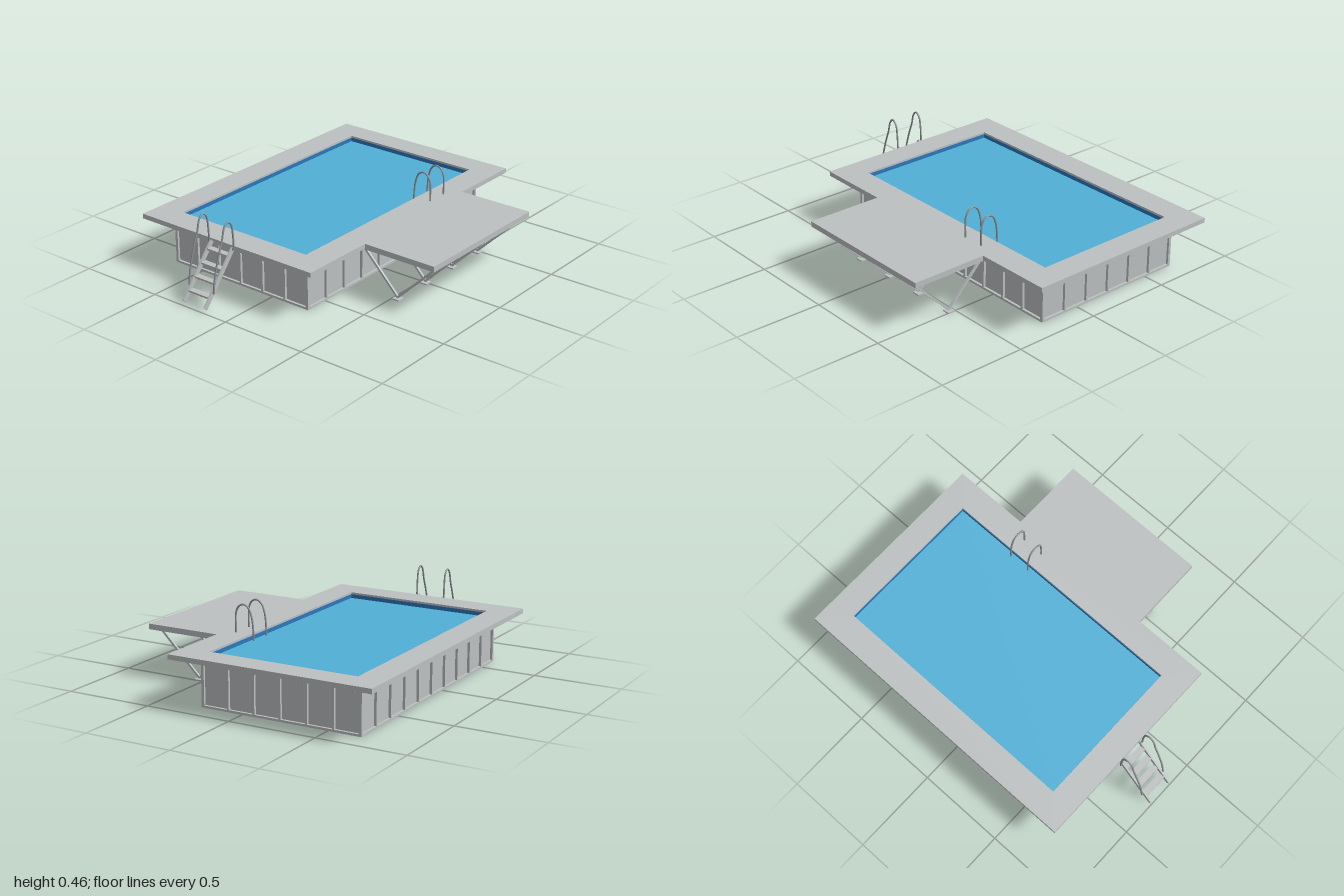
import * as THREE from 'three';

const grey = new THREE.MeshStandardMaterial({ color: 0xbcc0c1 });
grey.name = 'panel grey';
const steel = new THREE.MeshStandardMaterial({ color: 0x8e9396 });
steel.name = 'rail steel';
const blue = new THREE.MeshStandardMaterial({ color: 0x50b0d6 });
blue.name = 'water blue';
const deepBlue = new THREE.MeshStandardMaterial({ color: 0x2c78bc });
deepBlue.name = 'liner blue';

export function createModel() {
  const model = new THREE.Group();
  model.name = 'raisedPool';

  const add = (name, geometry, material = grey, parent = model) => {
    const mesh = new THREE.Mesh(geometry, material);
    mesh.name = name;
    parent.add(mesh);
    return mesh;
  };
  // Box given by its extents
  const box = (name, x0, x1, y0, y1, z0, z1, material = grey, parent = model) => {
    const mesh = add(name, new THREE.BoxGeometry(x1 - x0, y1 - y0, z1 - z0), material, parent);
    mesh.position.set((x0 + x1) / 2, (y0 + y1) / 2, (z0 + z1) / 2);
    return mesh;
  };
  // Rectangular frame seen from above; rectangles are [x0, x1, z0, z1]
  const ring = (name, outer, inner, y0, y1, material = grey) => {
    const corners = ([x0, x1, z0, z1]) => [[x0, -z1], [x1, -z1], [x1, -z0], [x0, -z0]]
      .map(([x, y]) => new THREE.Vector2(x, y));
    const shape = new THREE.Shape(corners(outer));
    shape.holes.push(new THREE.Path(corners(inner).reverse()));
    const geometry = new THREE.ExtrudeGeometry(shape, { depth: y1 - y0, bevelEnabled: false });
    geometry.rotateX(-Math.PI / 2).translate(0, y0, 0);
    return add(name, geometry, material);
  };
  const inset = ([x0, x1, z0, z1], d) => [x0 + d, x1 - d, z0 + d, z1 - d];
  // Square bar between two points
  const bar = (name, a, b, width, depth, material, parent) => {
    const from = new THREE.Vector3(...a), to = new THREE.Vector3(...b);
    const mesh = add(name, new THREE.BoxGeometry(width, depth, from.distanceTo(to)), material, parent);
    mesh.position.copy(from).add(to).multiplyScalar(0.5);
    mesh.lookAt(to);
    return mesh;
  };
  const tube = (name, points, parent = model) => {
    const curve = new THREE.CatmullRomCurve3(points.map((p) => new THREE.Vector3(...p)));
    return add(name, new THREE.TubeGeometry(curve, 40, 0.005, 10), steel, parent);
  };

  // Basin shell, floor and water
  const opening = [-0.655, 0.21, -0.855, 0.61];
  const basin = [-0.69, 0.245, -0.88, 0.64];
  const [bx0, bx1, bz0, bz1] = basin;
  ring('basinWall', inset(basin, 0.014), opening, 0.006, 0.272);
  ring('bottomRail', basin, inset(basin, 0.016), 0, 0.012);
  ring('topRail', basin, inset(basin, 0.016), 0.258, 0.27);
  const [fx0, fx1, fz0, fz1] = inset(basin, 0.012);
  box('basinFloor', fx0, fx1, 0.003, 0.011, fz0, fz1, deepBlue);
  const [wx0, wx1, wz0, wz1] = opening;
  box('water', wx0, wx1, 0.012, 0.262, wz0, wz1, blue);
  ring('liner', opening, inset(opening, 0.002), 0.261, 0.284, deepBlue);

  // Vertical ribs between the wall panels
  const ribs = new THREE.Group();
  ribs.name = 'wallRibs';
  model.add(ribs);
  const w = 0.006;
  for (let i = 0; i <= 6; i++) {
    const x = THREE.MathUtils.lerp(bx0 + w, bx1 - w, i / 6);
    box('frontRib', x - w, x + w, 0.01, 0.26, bz1 - 0.016, bz1, grey, ribs);
    box('backRib', x - w, x + w, 0.01, 0.26, bz0, bz0 + 0.016, grey, ribs);
  }
  for (let i = 0; i <= 10; i++) {
    const z = THREE.MathUtils.lerp(bz0 + w, bz1 - w, i / 10);
    box('leftRib', bx1 - 0.016, bx1, 0.01, 0.26, z - w, z + w, grey, ribs);
    box('rightRib', bx0, bx0 + 0.016, 0.01, 0.26, z - w, z + w, grey, ribs);
  }

  // Deck around the pool and side platform, each a plate with a skirt
  const deck = [-0.81, 0.365, -1, 0.76];
  const platform = [0.365, 0.805, -0.56, 0.32];
  ring('deckPlate', deck, opening, 0.282, 0.295);
  ring('deckSkirt', deck, inset(deck, 0.012), 0.268, 0.282);
  box('platformPlate', 0.365, 0.805, 0.282, 0.295, -0.56, 0.32);
  ring('platformSkirt', platform, inset(platform, 0.012), 0.264, 0.282);

  // Small angled brackets under the deck
  const brackets = new THREE.Group();
  brackets.name = 'deckBrackets';
  model.add(brackets);
  const bracket = (x, z, dx, dz) => {
    bar('bracketStrut', [x, 0.225, z], [x + dx * 0.065, 0.272, z + dz * 0.065], 0.009, 0.009, grey, brackets);
    bar('bracketArm', [x, 0.275, z], [x + dx * 0.1, 0.275, z + dz * 0.1], 0.009, 0.012, grey, brackets);
  };
  for (let i = 0; i < 4; i++) {
    const x = -0.645 + i * 0.282;
    bracket(x, bz1, 0, 1);
    bracket(x, bz0, 0, -1);
  }
  for (let i = 0; i < 6; i++) {
    const z = -0.83 + i * 0.287;
    bracket(bx0, z, -1, 0);
    if (i === 0 || i === 5) bracket(bx1, z, 1, 0);
  }

  // V-shaped platform supports on foot plates
  for (const z of [-0.485, -0.24, 0.005, 0.25]) {
    const support = new THREE.Group();
    support.name = 'platformSupport';
    model.add(support);
    bar('innerStrut', [0.285, 0.262, z], [0.53, 0.012, z], 0.012, 0.012, grey, support);
    bar('outerStrut', [0.53, 0.012, z], [0.785, 0.262, z], 0.012, 0.012, grey, support);
    box('topChord', 0.28, 0.79, 0.258, 0.27, z - 0.008, z + 0.008, grey, support);
    box('footPlate', 0.508, 0.552, 0, 0.007, z - 0.022, z + 0.022, grey, support);
  }
  // Joists under the platform
  for (const x of [0.39, 0.585, 0.775]) {
    box('platformJoist', x - 0.008, x + 0.008, 0.268, 0.282, -0.548, 0.308);
  }

  // Outside ladder
  const ladder = new THREE.Group();
  ladder.name = 'ladder';
  model.add(ladder);
  for (const x of [-0.295, -0.147]) {
    bar('ladderStringer', [x, 0.022, 0.99], [x, 0.288, 0.77], 0.009, 0.026, grey, ladder);
  }
  for (let i = 0; i < 4; i++) {
    const y = 0.07 + i * 0.061, z = 0.943 - i * 0.05;
    box('ladderTread', -0.293, -0.149, y - 0.005, y + 0.005, z - 0.018, z + 0.018, grey, ladder);
  }
  for (const x of [-0.308, -0.135]) {
    tube('ladderHandrail', [[x, 0.09, 0.936], [x, 0.17, 0.925], [x, 0.29, 0.89], [x, 0.37, 0.86],
      [x, 0.43, 0.843], [x, 0.453, 0.818], [x, 0.43, 0.79], [x, 0.37, 0.779], [x, 0.285, 0.775]], ladder);
    const side = x < -0.2 ? 0.013 : -0.012;
    bar('railMount', [x, 0.098, 0.935], [x + side, 0.098, 0.93], 0.012, 0.012, steel, ladder);
    bar('railMount', [x, 0.285, 0.775], [x + side, 0.285, 0.775], 0.012, 0.012, steel, ladder);
  }

  // Grab handles at the pool edge
  for (const z of [-0.47, -0.345]) {
    tube('grabHandle', [[0.19, 0.25, z], [0.192, 0.32, z], [0.2, 0.385, z], [0.22, 0.435, z],
      [0.25, 0.452, z], [0.28, 0.44, z], [0.298, 0.405, z], [0.301, 0.36, z], [0.3, 0.285, z]]);
  }
  return model;
}
